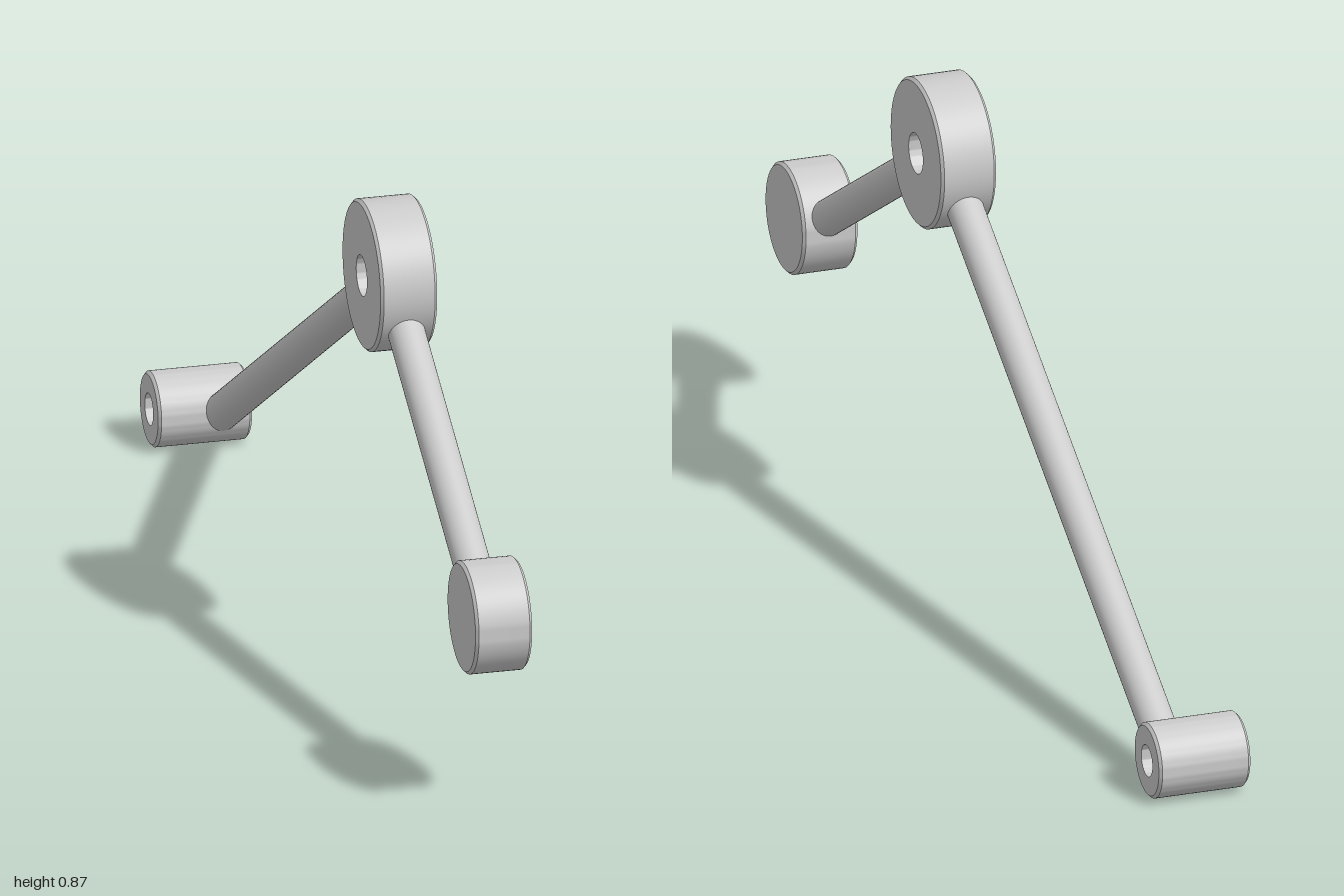
import * as THREE from 'three';
import { toCreasedNormals } from 'three/addons/utils/BufferGeometryUtils.js';

const material = new THREE.MeshStandardMaterial({ color: 0xcccccc });
const BEVEL = 0.005;
const ROD_X = 0.032;
const ROD_RADIUS = 0.032;

// Bevelled disc lying along x, with an optional through bore
function disc(name, radius, bore, x0, x1, y, z) {
  const h = (x1 - x0) / 2;
  const profile = [
    [bore, -h], [radius - BEVEL, -h], [radius, -h + BEVEL],
    [radius, h - BEVEL], [radius - BEVEL, h], [bore, h],
  ];
  if (bore > 0) profile.push([bore, -h]);
  const lathe = new THREE.LatheGeometry(profile.map(([r, a]) => new THREE.Vector2(r, a)), 64);
  lathe.rotateZ(-Math.PI / 2);
  const mesh = new THREE.Mesh(toCreasedNormals(lathe, 0.5), material);
  mesh.name = name;
  mesh.position.set((x0 + x1) / 2, y, z);
  return mesh;
}

// Round rod between two [y, z] points, trimmed at both ends to stay clear of the bores
function rod(name, from, to, trimFrom, trimTo) {
  const a = new THREE.Vector3(ROD_X, ...from);
  const b = new THREE.Vector3(ROD_X, ...to);
  const dir = b.clone().sub(a).normalize();
  a.addScaledVector(dir, trimFrom);
  b.addScaledVector(dir, -trimTo);
  const geometry = new THREE.CylinderGeometry(ROD_RADIUS, ROD_RADIUS, a.distanceTo(b), 40);
  const mesh = new THREE.Mesh(geometry, material);
  mesh.name = name;
  mesh.position.copy(a).add(b).multiplyScalar(0.5);
  mesh.quaternion.setFromUnitVectors(new THREE.Vector3(0, 1, 0), dir);
  return mesh;
}

export function createModel() {
  const group = new THREE.Group();
  group.name = 'leverArm';

  // Pivot hub, solid front weight and long rear bushing
  group.add(disc('pivotHub', 0.132, 0.036, -0.018, 0.082, 0.735, 0.235));
  group.add(disc('frontWeight', 0.098, 0, -0.018, 0.082, 0.355, 0.902));
  group.add(disc('rearBushing', 0.066, 0.028, -0.084, 0.082, 0.067, -0.934));

  // Rods meet the end pieces slightly below their centres
  group.add(rod('frontRod', [0.733, 0.235], [0.338, 0.892], 0.08, 0.04));
  group.add(rod('rearRod', [0.733, 0.235], [0.047, -0.922], 0.08, 0.036));
  return group;
}
